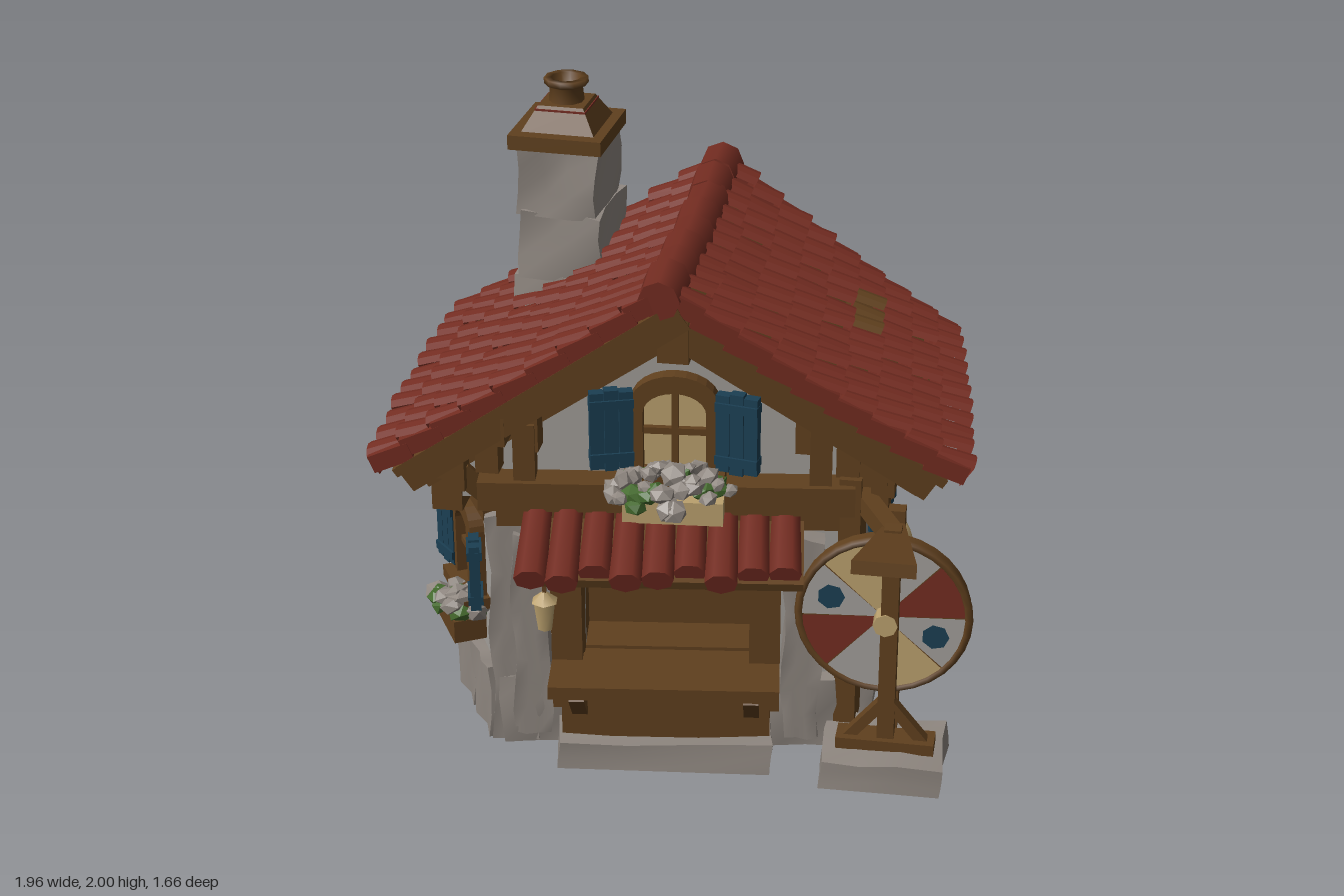
import * as THREE from 'three';

const M = {};
const colours = { roofRed: 0x732c21, wood: 0x60401e, stone: 0x8f8780, plaster: 0xa39f9a, shutterBlue: 0x1b3f53, paleYellow: 0xbba16e, leafGreen: 0x456b2e };
for (const [name, color] of Object.entries(colours)) M[name] = Object.assign(new THREE.MeshStandardMaterial({ color }), { name });
M.paleYellow.side = M.roofRed.side = THREE.DoubleSide;

let seed = 7;
const rnd = () => (seed = (seed * 16807) % 2147483647) / 2147483647;
const V = (x, y, z) => new THREE.Vector3(x, y, z);
const pts = (list) => list.map(([x, y]) => new THREE.Vector2(x, y));
const plate = (shape, depth) => new THREE.ExtrudeGeometry(shape, { depth, bevelEnabled: false, curveSegments: 6 });
function place(parent, obj, name, x, y, z, ry) {
  obj.name = name;
  obj.position.set(x, y, z);
  obj.rotation.y = ry;
  parent.add(obj);
  return obj;
}
const add = (p, name, geo, mat, x = 0, y = 0, z = 0, ry = 0) => place(p, new THREE.Mesh(geo, M[mat]), name, x, y, z, ry);
const box = (p, name, mat, w, h, d, x, y, z, ry = 0) => add(p, name, new THREE.BoxGeometry(w, h, d), mat, x, y, z, ry);
const group = (p, name, x = 0, y = 0, z = 0, ry = 0) => place(p, new THREE.Group(), name, x, y, z, ry);
// Square timber running from a to b, in the parent's own frame
function beam(p, name, a, b, w, h, mat = 'wood') {
  const m = new THREE.Mesh(new THREE.BoxGeometry(w, h, a.distanceTo(b)), M[mat]);
  m.name = name;
  m.position.copy(a).lerp(b, 0.5);
  m.lookAt(b);
  p.add(m);
}
// Rough-hewn block: every vertex shifts by a smooth rule of its position
function rock(p, name, w, h, d, x, y, z, ry = 0, r = 0.009) {
  const g = new THREE.BoxGeometry(w, h, d, 3, Math.max(3, Math.round(h / 0.1)), 3);
  const a = g.attributes.position;
  for (let i = 0; i < a.count; i++) {
    const px = a.getX(i), py = a.getY(i), pz = a.getZ(i);
    const n = (k) => r * Math.sin(px * 17 * k + py * 15 + pz * 13 + x * 19 + y * 7 + z * 23 + k * 2);
    a.setXYZ(i, px + n(1), py + (py < -h * 0.4 ? 0 : n(2)), pz + n(3));
  }
  g.computeVertexNormals();
  add(p, name, g, 'stone', x, y, z, ry);
}
// Mound of blossoms with leaves mostly round its edge
function flowers(p, name, w, h, d, x, y, z, n, greenShare) {
  const g = group(p, name, x, y, z);
  for (let i = 0; i < n; i++) {
    const a = rnd() * 6.28, r = Math.sqrt(rnd()), green = rnd() < greenShare * (0.4 + 1.2 * r * r);
    const m = add(g, green ? 'leaf' : 'blossom', new THREE.IcosahedronGeometry(0.03 + rnd() * 0.02, 0), green ? 'leafGreen' : 'stone',
      Math.cos(a) * r * w / 2, (1 - r * r) * h + (rnd() - 0.5) * 0.03 - (green ? 0.012 : 0), Math.sin(a) * r * d / 2, a);
    m.scale.y = 0.7;
    m.rotation.z = rnd();
  }
}
function archPath(C, w, h) {
  const s = new C(), r = w / 2, k = h - r * 0.7;
  s.moveTo(-r, 0).lineTo(r, 0).lineTo(r, k).absellipse(0, k, r, r * 0.7, 0, Math.PI, false);
  return s.closePath();
}
// Arched window facing local +z, its sill at y = 0
function makeWindow(p, name, x, y, z, ry, w, h, sw, sh) {
  const g = group(p, name, x, y, z, ry);
  const frame = archPath(THREE.Shape, w + 0.08, h + 0.06);
  frame.holes.push(archPath(THREE.Path, w, h));
  add(g, 'windowFrame', plate(frame, 0.05), 'wood');
  for (const k of [0.012, -0.05]) add(g, 'glass', new THREE.ShapeGeometry(archPath(THREE.Shape, w, h), 6), 'paleYellow', 0, 0, k);
  box(g, 'mullion', 'wood', 0.022, h, 0.02, 0, h / 2, 0.022);
  box(g, 'crossbar', 'wood', w, 0.022, 0.02, 0, h * 0.5, 0.022);
  box(g, 'sill', 'wood', w + 0.12, 0.04, 0.09, 0, -0.01, 0.04);
  for (const s of [-1, 1]) {
    const sg = group(g, 'shutter', s * (w / 2 + 0.03 + sw / 2), sh / 2 + 0.01, 0.05, -s * 0.25);
    for (const k of [-1, 0, 1]) box(sg, 'shutterBoard', 'shutterBlue', sw / 3 - 0.002, sh - Math.abs(k) * 0.015, 0.035, k * sw / 3, 0, 0);
    for (const k of [-1, 1]) box(sg, 'shutterBatten', 'shutterBlue', sw, 0.03, 0.05, 0, k * sh * 0.33, 0);
  }
  return g;
}

// Roof surface: s picks the slope, u runs ridge to eave, v back to front
function roofPoint(s, u, v, lift) {
  const L = THREE.MathUtils.lerp;
  const ex = s < 0 ? -0.94 : L(0.78, 0.905, v);
  const ez = s < 0 ? L(-0.65, 0.59, v) : L(-0.72, 0.36, v);
  const y = L(1.655 - 0.035 * Math.sin(Math.PI * v), 1.05, u) - 0.02 * Math.sin(Math.PI * u);
  return V(L(-0.03, ex, u) + s * 0.55 * lift, y + 0.83 * lift, L(L(-0.71, 0.47, v), ez, u));
}
// Overlapping barrel tiles of row i, from column j0 up to j1
function tileRow(s, i, rows, cols, j0, j1) {
  const pos = [], per = 4;
  const quad = (a, b, c, d) => [a, b, c, a, c, d].forEach((q) => pos.push(q.x, q.y, q.z));
  for (let j = j0; j < j1; j++) {
    const du = 0.025 + rnd() * 0.025, dl = 0.01 + rnd() * 0.015;
    const at = (k, e) => {
      const v = (j + k / per) / cols, bump = 0.02 * Math.sin(Math.PI * k / per), u = (i + e) / rows + e * du * 0.5;
      return [roofPoint(s, u, v, (e ? dl + 0.012 : -0.005) + bump), roofPoint(s, u, v, -0.05)];
    };
    for (let k = 0; k < per; k++) {
      const [n, f] = s < 0 ? [k + 1, k] : [k, k + 1];
      const [a] = at(n, 0), [b] = at(f, 0), [c, c2] = at(f, 1), [d, d2] = at(n, 1);
      quad(a, b, c, d);
      quad(d, c, c2, d2);
    }
  }
  const g = new THREE.BufferGeometry();
  g.setAttribute('position', new THREE.Float32BufferAttribute(pos, 3));
  g.computeVertexNormals();
  return g;
}

export function createModel() {
  const house = group(new THREE.Group(), 'house');
  house.removeFromParent();

  // Hollow ground floor: walls, footing, corner piers and top plate follow one footprint
  const F = [[-0.57, 0.49], [0.52, 0.34], [0.53, -0.6], [-0.74, -0.6], [-0.77, 0.13]];
  F.forEach(([x, z], e) => {
    const [x2, z2] = F[(e + 1) % F.length], len = Math.hypot(x2 - x, z2 - z), ry = Math.atan2(z - z2, x2 - x);
    const n = Math.max(2, Math.round(len / 0.26)), back = e === 2 || e === 3;
    if (e) box(house, 'wall', 'plaster', len, 0.84, 0.03, (x + x2) / 2, 0.5, (z + z2) / 2, ry);
    for (let k = 0; k < n; k++) {
      const t = (k + 0.5) / n, h = 0.25 + rnd() * 0.05;
      if (e || k === 0 || k === n - 1) rock(house, 'footingStone', len / n + 0.01, h, 0.11, x + (x2 - x) * t, h / 2 + 0.005, z + (z2 - z) * t, ry);
    }
    if (e !== 1) rock(house, 'cornerPier', back ? 0.2 : 0.14, 0.84, back ? 0.2 : 0.14, x * 0.94, 0.43, z * 0.94, ry);
    beam(house, 'wallPlate', V(x, 0.86, z), V(x2, 0.86, z2), 0.1, 0.08);
  });
  add(house, 'ceiling', plate(new THREE.Shape(pts(F.map(([x, z]) => [x, -z]))), 0.03).rotateX(-Math.PI / 2), 'wood', 0, 0.86, 0);
  rock(house, 'sidePier', 0.1, 0.82, 0.15, 0.53, 0.42, 0.125);
  box(house, 'cornerPanel', 'wood', 0.07, 0.95, 0.2, 0.555, 0.53, 0.29);

  // Upper storey with gables, its front sheared to follow the skewed front
  const upper = plate(new THREE.Shape(pts([[-0.74, 0.88], [0.62, 0.88], [0.62, 1.1], [-0.02, 1.55], [-0.74, 1.05]])), 1);
  const up = upper.attributes.position;
  for (let i = 0; i < up.count; i++) up.setZ(i, up.getZ(i) > 0.5 ? 0.38 - 0.13 * up.getX(i) : -0.6);
  upper.computeVertexNormals();
  add(house, 'upperWalls', upper, 'plaster');
  for (const s of [-1, 1]) {
    const x = s < 0 ? -0.74 : 0.62, zf = s < 0 ? 0.47 : 0.3;
    beam(house, 'sidePlate', V(x, 1.02, -0.66), V(x, 1.02, zf + 0.06), 0.1, 0.1);
    beam(house, 'purlin', V(s * 0.5 - 0.07, 1.16, -0.72), V(s * 0.5 - 0.07, 1.16, zf + 0.08), 0.09, 0.1);
    for (const z of [-0.56, 0.12, zf - 0.04]) box(house, 'upperPost', 'wood', 0.1, 0.24, 0.1, x, 0.95, z);
  }

  // Roof: tile rows with one worn patch, boards, rafters and eave brackets
  const roof = group(house, 'roof');
  for (const s of [-1, 1]) {
    for (let i = 0; i < 9; i++) {
      const worn = s > 0 && i === 5;
      for (const [j0, j1] of worn ? [[0, 2], [2, 5], [5, 11]] : [[0, 11]])
        add(roof, 'tileRow', tileRow(s, i, 9, 11, j0, j1), worn && j0 === 2 ? 'wood' : 'roofRed');
    }
    for (let k = 0; k < 8; k++) {
      const v = (k + 0.5) / 8;
      beam(roof, 'roofBoard', roofPoint(s, 0, v, -0.065), roofPoint(s, 0.98, v, -0.065), 0.165, 0.03);
    }
    for (const v of [0.012, 0.988]) for (let k = 0; k < 9; k++)
      beam(roof, 'vergeTile', roofPoint(s, k / 9, v, -0.025), roofPoint(s, (k + 1.15) / 9, v, -0.005), 0.05, 0.06, 'roofRed');
    for (const [v, d] of [[0.98, -0.1], [0.9, -0.14], [0.02, -0.1], [0.1, -0.14]])
      beam(roof, 'gableRafter', roofPoint(s, 0, v, d), roofPoint(s, 0.96, v, d), 0.06, 0.1);
    for (const v of [0.07, 0.93]) {
      for (const u of [0.58, 0.72, 0.84]) box(roof, 'bracket', 'wood', 0.075, 0.12, 0.11, ...roofPoint(s, u, v, -0.17).toArray());
      const q = roofPoint(s, 0.84, v, -0.18);
      beam(roof, 'eaveBrace', q, V(s * 0.58 - 0.04, 0.9, q.z - (v - 0.5) * 0.08), 0.07, 0.07);
    }
  }
  for (let k = 0; k < 8; k++) {
    const c = new THREE.CylinderGeometry(0.066, 0.074, 0.165, 8).rotateX(Math.PI / 2 + 0.04 * (k % 2 ? 1 : -1));
    add(roof, 'ridgeTile', c, 'roofRed', -0.035 - 0.005 * (k % 2), 1.63 - 0.035 * Math.sin(Math.PI * (k + 0.5) / 8), -0.645 + k * 0.15);
  }
  for (const z of [0.42, -0.66]) box(roof, 'ridgeBlock', 'wood', 0.1, 0.15, 0.1, 0, 1.48, z);

  // Chimney
  const chimney = group(house, 'chimney', -0.52, 0, -0.44, -0.06);
  for (let k = 0; k < 3; k++) rock(chimney, 'chimneyStone', 0.3 - k * 0.012, 0.24, 0.31 - k * 0.006, (k % 2) * 0.01, 1.22 + k * 0.225, 0, 0, 0.01);
  box(chimney, 'chimneyCap', 'wood', 0.32, 0.05, 0.34, 0, 1.815, 0);
  const slope = new THREE.CylinderGeometry(0.11, 0.185, 0.09, 4).rotateY(Math.PI / 4).toNonIndexed();
  slope.computeVertexNormals();
  add(chimney, 'capSlope', slope, 'wood', 0, 1.875, 0);
  box(chimney, 'capTile', 'roofRed', 0.175, 0.02, 0.175, 0, 1.9, 0);
  add(chimney, 'pot', new THREE.LatheGeometry(pts([[0.06, 0], [0.055, 0.05], [0.075, 0.06], [0.075, 0.08], [0.05, 0.08], [0.045, 0.01], [0, 0.01]]), 10), 'wood', 0, 1.92, 0);

  // Front: wall with recessed stall, counter, awning and gable window
  const front = group(house, 'front', -0.03, 0, 0.42, 0.13);
  const face = new THREE.Shape(pts([[-0.55, 0.08], [0.555, 0.08], [0.555, 0.92], [-0.55, 0.92]]));
  face.holes.push(new THREE.Path(pts([[-0.27, 0.3], [-0.27, 0.72], [0.27, 0.72], [0.27, 0.3]])));
  add(front, 'frontWall', plate(face, 0.03), 'plaster', 0, 0, -0.03);
  box(front, 'stallBase', 'wood', 0.66, 0.24, 0.5, 0, 0.23, -0.251);
  box(front, 'stallBack', 'wood', 0.6, 0.46, 0.03, 0, 0.53, -0.17);
  box(front, 'stallCeiling', 'wood', 0.6, 0.04, 0.17, 0, 0.735, -0.09);
  rock(front, 'stallStep', 0.7, 0.1, 0.22, 0, 0.05, 0.1);
  box(front, 'counterPanel', 'wood', 0.68, 0.25, 0.14, 0, 0.22, 0.08);
  box(front, 'counterTop', 'wood', 0.74, 0.045, 0.22, 0, 0.35, 0.19);
  for (const s of [-1, 1]) {
    box(front, 'stallCheek', 'wood', 0.03, 0.46, 0.17, s * 0.285, 0.53, -0.09);
    beam(front, 'counterBrace', V(s * 0.28, 0.2, 0.14), V(s * 0.28, 0.33, 0.27), 0.05, 0.05);
    box(front, 'stallPost', 'wood', 0.1, 0.62, 0.14, s * 0.32, 0.5, 0.06);
    rock(front, 'stallPier', 0.12, 0.75, 0.09, s * 0.44, 0.42, 0.02);
    beam(front, 'awningArm', V(s * 0.4, 0.62, 0.02), V(s * 0.4, 0.77, 0.28), 0.045, 0.045);
    box(front, 'gablePost', 'wood', 0.07, 0.24, 0.08, s * 0.47 + 0.02, 1.06, 0.01);
  }
  box(front, 'lintel', 'wood', 0.86, 0.09, 0.15, 0, 0.745, 0.06);
  box(front, 'storeyBeam', 'wood', 1.2, 0.1, 0.1, 0, 0.935, 0.02);
  beam(front, 'awningBoard', V(0, 0.85, 0), V(0, 0.762, 0.31), 0.88, 0.03);
  for (let k = 0; k < 9; k++) {
    const end = 0.35 + 0.03 * Math.sin(k * 2.3) - k * 0.004;
    const c = new THREE.CylinderGeometry(0.053, 0.046, end, 7).rotateX(Math.PI / 2).scale(1, 0.75, 1).rotateX(0.25);
    add(front, 'awningTile', c, 'roofRed', -0.41 + k * 0.099, 0.835, end / 2);
  }
  const gw = makeWindow(front, 'gableWindow', 0.03, 1.02, 0.0, -0.05, 0.2, 0.28, 0.14, 0.28);
  box(gw, 'flowerTray', 'paleYellow', 0.32, 0.08, 0.1, 0, -0.1, 0.08);
  flowers(front, 'gableFlowers', 0.4, 0.08, 0.24, 0.02, 0.98, 0.12, 60, 0.3);
  const lantern = group(front, 'lantern', -0.38, 0.59, 0.21);
  add(lantern, 'lanternGlass', new THREE.CylinderGeometry(0.038, 0.025, 0.1, 6), 'paleYellow');
  add(lantern, 'lanternCap', new THREE.ConeGeometry(0.045, 0.04, 6), 'paleYellow', 0, 0.07, 0);
  box(lantern, 'lanternHanger', 'wood', 0.012, 0.1, 0.012, 0, 0.13, 0);

  // Spinning wheel on its stand
  const wheel = group(house, 'wheel', 0.68, 0.565, 0.44, 0.03);
  add(wheel, 'wheelDisc', new THREE.CylinderGeometry(0.28, 0.28, 0.05, 32).rotateX(Math.PI / 2), 'wood');
  ['plaster', 'roofRed', 'plaster', 'paleYellow', 'plaster', 'roofRed', 'plaster', 'paleYellow'].forEach((c, k) => {
    const mid = (-20 + 45 * k) * Math.PI / 180;
    add(wheel, 'wheelSector', new THREE.CircleGeometry(0.268, 6, mid - 0.385, 0.77), c, 0, 0, 0.028);
    if (k % 4 === 0) add(wheel, 'wheelSpot', new THREE.CircleGeometry(0.045, 7), 'shutterBlue', Math.cos(mid) * 0.18, Math.sin(mid) * 0.18, 0.032);
  });
  add(wheel, 'wheelRim', new THREE.TorusGeometry(0.272, 0.015, 6, 32), 'wood', 0, 0, 0.02);
  add(wheel, 'hub', new THREE.CylinderGeometry(0.04, 0.04, 0.1, 8).rotateX(Math.PI / 2), 'paleYellow', 0.01, 0, 0.04);
  rock(house, 'wheelFooting', 0.39, 0.1, 0.32, 0.7, 0.05, 0.48);
  const stand = group(house, 'wheelStand', 0.705, 0, 0.5);
  for (const z of [0, -0.13]) box(stand, 'post', 'wood', 0.055, 0.82, 0.05, 0, 0.5, z);
  box(stand, 'standFoot', 'wood', 0.32, 0.04, 0.09, 0, 0.12, 0);
  for (const s of [-1, 1]) beam(stand, 'standBrace', V(s * 0.13, 0.12, 0), V(0, 0.28, 0), 0.04, 0.035);
  const hood = new THREE.Shape(pts([[-0.03, 0], [0.03, 0], [0.1, -0.38], [-0.1, -0.38]]));
  add(stand, 'pointerHood', plate(hood, 0.045).rotateX(-Math.PI / 2 - 0.17), 'wood', 0, 0.84, -0.07);
  beam(house, 'standTie', V(0.55, 0.95, 0.3), V(0.7, 0.86, 0.46), 0.06, 0.06);

  // Right-side window with sacks in its box
  const rw = makeWindow(house, 'rightWindow', 0.54, 0.46, -0.22, Math.PI / 2, 0.19, 0.27, 0.14, 0.26);
  box(rw, 'windowBox', 'wood', 0.3, 0.09, 0.12, 0, -0.07, 0.09);
  for (const s of [-1, 1]) add(rw, 'sack', new THREE.SphereGeometry(0.085, 8, 6).scale(1, 0.7, 0.8), 'paleYellow', s * 0.075, -0.02, 0.1);
  box(house, 'rightRail', 'wood', 0.06, 0.06, 0.52, 0.56, 0.31, -0.22);
  rock(house, 'looseStone', 0.06, 0.17, 0.17, 0.6, 0.1, 0.12, 0.1);

  // Left-side and front-left windows with flower boxes
  for (const [n, x, z, ry, bw, bx] of [['leftWindow', -0.77, -0.24, -1.61, 0.28, 0], ['frontLeftWindow', -0.69, 0.325, -1.06, 0.22, 0.04]]) {
    const w = makeWindow(house, n, x, 0.48, z, ry, 0.15, 0.27, 0.11, 0.25);
    box(w, 'windowBox', 'wood', bw, 0.08, 0.11, bx, -0.09, 0.07);
    flowers(w, 'boxFlowers', bw + 0.02, 0.05, 0.15, bx, -0.04, 0.08, 24, 0.4);
  }

  // Back: long planter, panel beams, single shutter and gable window
  const back = group(house, 'back', 0, 0, -0.61, Math.PI);
  box(back, 'planter', 'wood', 0.72, 0.09, 0.13, -0.1, 0.39, 0.09);
  flowers(back, 'planterFlowers', 0.74, 0.07, 0.18, -0.1, 0.44, 0.1, 50, 0.4);
  for (const [w, h, y] of [[1.2, 0.06, 0.74], [1.1, 0.05, 0.31], [1.36, 0.1, 0.93]]) box(back, 'backBeam', 'wood', w, h, 0.08, 0.08, y, 0.02);
  box(back, 'shutter', 'shutterBlue', 0.15, 0.28, 0.035, -0.49, 0.6, 0.06, 0.6);
  makeWindow(back, 'backGableWindow', 0, 1.04, 0, 0, 0.19, 0.27, 0.14, 0.27);
  flowers(back, 'gableFlowers', 0.42, 0.1, 0.2, 0.02, 0.99, 0.1, 48, 0.85);
  return house;
}
